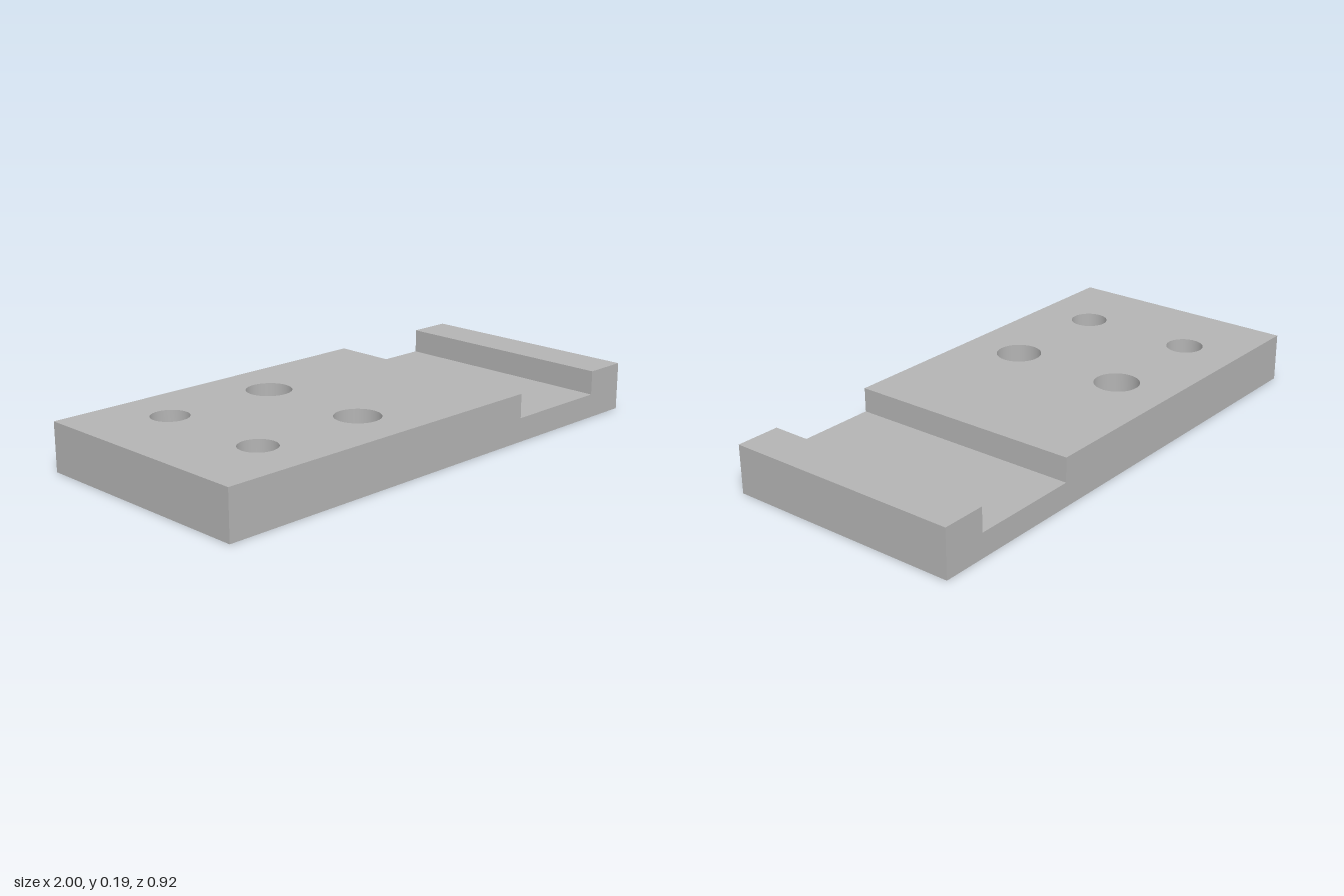
import * as THREE from 'three';
import { mergeGeometries } from 'three/addons/utils/BufferGeometryUtils.js';

const HEIGHT = 0.185, HALF_DEPTH = 0.462;
const GROOVE = { x0: 0.397, x1: 0.829, floor: 0.092 };

// Two pairs of through holes, mirrored front to back
const HOLES = [];
for (const z of [-0.231, 0.231]) {
  HOLES.push({ x: -0.678, z, r: 0.071 }, { x: -0.218, z, r: 0.086 });
}

// Flat rectangle pierced by the holes
function piercedFace(x0, x1) {
  const shape = new THREE.Shape([
    new THREE.Vector2(x0, -HALF_DEPTH), new THREE.Vector2(x1, -HALF_DEPTH),
    new THREE.Vector2(x1, HALF_DEPTH), new THREE.Vector2(x0, HALF_DEPTH),
  ]);
  for (const { x, z, r } of HOLES) {
    shape.holes.push(new THREE.Path().absarc(x, z, r, 0, Math.PI * 2, true));
  }
  return new THREE.ShapeGeometry(shape, 24);
}

// Strip across the depth, between two profile points
function strip(p, q) {
  const h = HALF_DEPTH;
  const a = [p.x, p.y, h], b = [p.x, p.y, -h], c = [q.x, q.y, -h], d = [q.x, q.y, h];
  const g = new THREE.BufferGeometry();
  g.setAttribute('position', new THREE.Float32BufferAttribute([a, b, c, a, c, d].flat(), 3));
  g.computeVertexNormals();
  return g;
}

function merge(parts) {
  return mergeGeometries(parts.map((part) => {
    const g = part.index ? part.toNonIndexed() : part;
    g.deleteAttribute('uv');
    return g;
  }));
}

export function createModel() {
  const group = new THREE.Group();
  group.name = 'groovedPlate';
  const grey = new THREE.MeshStandardMaterial({ color: 0xb3b3b3 });
  grey.name = 'grey';

  // Side profile, counterclockwise; the last point starts the pierced top
  const profile = [
    [-1, 0], [1, 0], [1, HEIGHT], [GROOVE.x1, HEIGHT], [GROOVE.x1, GROOVE.floor],
    [GROOVE.x0, GROOVE.floor], [GROOVE.x0, HEIGHT], [-1, HEIGHT],
  ].map(([x, y]) => new THREE.Vector2(x, y));

  // Front and back, top and bottom
  const side = new THREE.Shape(profile);
  const back = new THREE.Shape(profile.map((p) => new THREE.Vector2(-p.x, p.y)));
  const faces = [
    new THREE.ShapeGeometry(side).translate(0, 0, HALF_DEPTH),
    new THREE.ShapeGeometry(back).rotateY(Math.PI).translate(0, 0, -HALF_DEPTH),
    piercedFace(-1, GROOVE.x0).rotateX(-Math.PI / 2).translate(0, HEIGHT, 0),
    piercedFace(-1, 1).rotateX(Math.PI / 2),
  ];

  // End walls, groove and lip
  profile.forEach((p, i) => {
    if (i !== 0 && i !== 6) faces.push(strip(p, profile[(i + 1) % profile.length]));
  });

  const plate = new THREE.Mesh(merge(faces), grey);
  plate.name = 'plate';
  group.add(plate);

  // Smooth bores, facing inward
  for (const { x, z, r } of HOLES) {
    const wall = [new THREE.Vector2(r, HEIGHT), new THREE.Vector2(r, 0)];
    const bore = new THREE.Mesh(new THREE.LatheGeometry(wall, 48), grey);
    bore.name = 'holeWall';
    bore.position.set(x, 0, z);
    group.add(bore);
  }
  return group;
}
